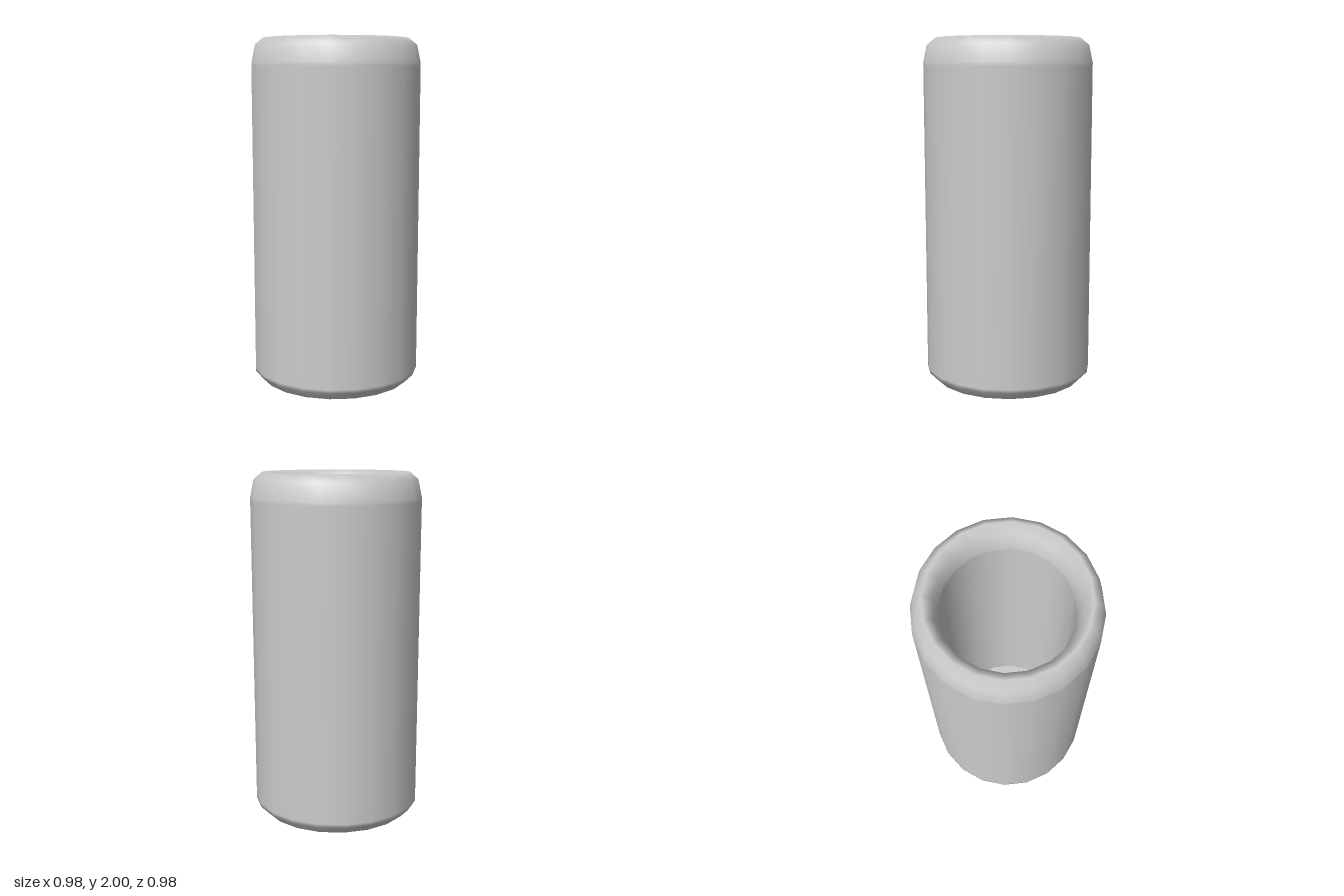
import * as THREE from 'three';

const SIDES = 20;

export function createModel() {
  const model = new THREE.Group();
  model.name = 'cup';
  const material = new THREE.MeshStandardMaterial({ color: 0xcccccc });

  const addLathe = (name, profile) => {
    const points = profile.map(([r, y]) => new THREE.Vector2(r, y));
    const mesh = new THREE.Mesh(new THREE.LatheGeometry(points, SIDES), material);
    mesh.name = name;
    model.add(mesh);
  };

  // Outer wall, rounded rim and inner wall in one smooth profile
  addLathe('wall', [
    [0.44, 0], [0.488, 0.05], [0.488, 0.07],
    [0.488, 1.84], [0.488, 1.86], [0.467, 1.96], [0.42, 2],
    [0.369, 1.96], [0.348, 1.86], [0.348, 1.84], [0.348, 0.12],
  ]);

  // Flat underside and inside floor
  addLathe('base', [[0, 0], [0.44, 0]]);
  addLathe('floor', [[0.348, 0.12], [0, 0.12]]);

  return model;
}
